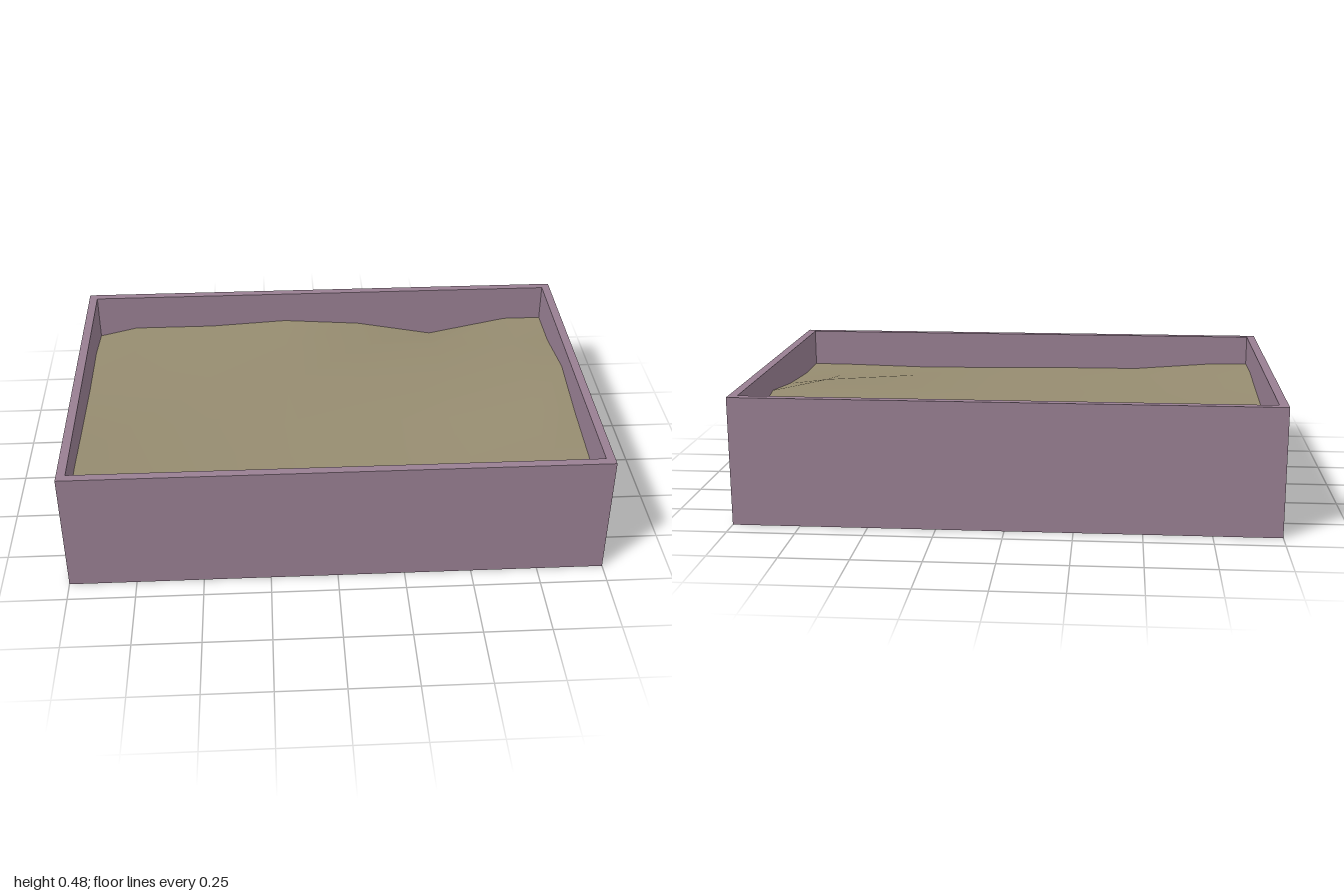
import * as THREE from 'three';

const W = 2, H = 0.48, D = 1.333, T = 0.033;

// Rectangle outline centred on the origin
function rect(Type, w, d) {
  const p = new Type();
  p.moveTo(-w / 2, -d / 2);
  p.lineTo(w / 2, -d / 2);
  p.lineTo(w / 2, d / 2);
  p.lineTo(-w / 2, d / 2);
  p.closePath();
  return p;
}

// Soil heights on a coarse grid: rows run back to front, columns -x to +x
const XS = [-0.967, -0.81, -0.48, -0.16, 0.16, 0.48, 0.81, 0.967];
const ZS = [-0.633, -0.43, -0.14, 0.14, 0.43, 0.633];
const HEIGHTS = [
  [0.295, 0.33, 0.33, 0.348, 0.325, 0.265, 0.33, 0.33],
  [0.33, 0.33, 0.335, 0.335, 0.33, 0.32, 0.33, 0.335],
  [0.33, 0.33, 0.33, 0.335, 0.34, 0.34, 0.37, 0.385],
  [0.345, 0.34, 0.335, 0.33, 0.335, 0.34, 0.37, 0.35],
  [0.365, 0.35, 0.335, 0.335, 0.33, 0.33, 0.325, 0.33],
  [0.36, 0.357, 0.331, 0.33, 0.325, 0.323, 0.33, 0.331],
];

function soilGeometry() {
  const geo = new THREE.PlaneGeometry(1, 1, XS.length - 1, ZS.length - 1);
  geo.rotateX(-Math.PI / 2);
  const pos = geo.attributes.position;
  for (let r = 0; r < ZS.length; r++) {
    for (let c = 0; c < XS.length; c++) {
      pos.setXYZ(r * XS.length + c, XS[c], HEIGHTS[r][c], ZS[r]);
    }
  }
  geo.computeVertexNormals();
  return geo;
}

export function createModel() {
  const group = new THREE.Group();
  group.name = 'planterBox';
  const wallMat = new THREE.MeshStandardMaterial({ color: 0x987f92 });
  const soilMat = new THREE.MeshStandardMaterial({ color: 0x968c70, side: THREE.DoubleSide });

  const add = (name, geo, mat) => {
    const mesh = new THREE.Mesh(geo, mat);
    mesh.name = name;
    group.add(mesh);
    return mesh;
  };

  // Four walls as one open frame
  const outline = rect(THREE.Shape, W, D);
  outline.holes.push(rect(THREE.Path, W - 2 * T, D - 2 * T));
  const frame = new THREE.ExtrudeGeometry(outline, { depth: H, bevelEnabled: false });
  frame.rotateX(-Math.PI / 2);
  add('walls', frame, wallMat);

  // Floor closing the frame
  add('floor', new THREE.BoxGeometry(W - 2 * T, T, D - 2 * T), wallMat).position.y = T / 2;

  // Uneven soil filling
  add('soil', soilGeometry(), soilMat);

  return group;
}
